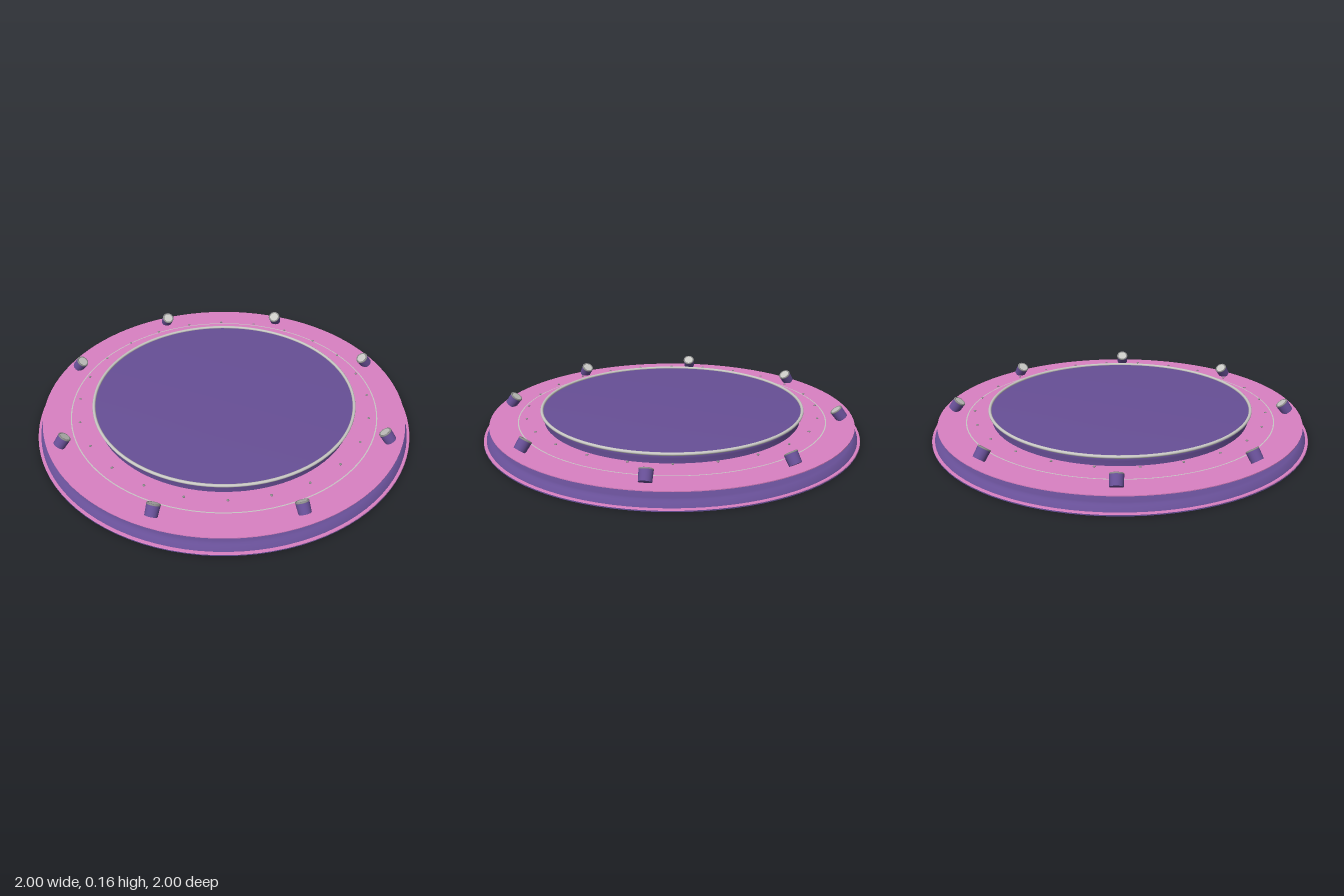
import * as THREE from 'three';

const mat = (name, color) => {
  const m = new THREE.MeshStandardMaterial({ color });
  m.name = name;
  return m;
};

export function createModel() {
  const purple = mat('purple', 0x674f96);
  const pink = mat('pink', 0xd980c2);
  const silver = mat('silver', 0xc8c8c4);
  const grey = mat('grey', 0x8c8c8c);
  const model = new THREE.Group();
  model.name = 'roundStage';

  const add = (name, geometry, material, y = 0, parent = model) => {
    const mesh = new THREE.Mesh(geometry, material);
    mesh.name = name;
    mesh.position.y = y;
    parent.add(mesh);
    return mesh;
  };
  // Revolved profile, listed from bottom to top
  const lathe = (points) =>
    new THREE.LatheGeometry(points.map(([r, y]) => new THREE.Vector2(r, y)), 96);
  const torus = (r, tube) => new THREE.TorusGeometry(r, tube, 10, 96).rotateX(Math.PI / 2);

  // Base: flat foot, pink flange and rounded body
  add('foot', new THREE.CylinderGeometry(1, 1, 0.006, 96), purple, 0.003);
  add('flange', new THREE.CylinderGeometry(0.998, 1, 0.004, 96), pink, 0.008);
  add('baseBody', lathe([[0.985, 0.01], [0.98, 0.018], [0.968, 0.031], [0.958, 0.036],
    [0.945, 0.038], [0, 0.038]]), purple);

  // Stepped riser beneath the deck
  add('riserFoot', new THREE.CylinderGeometry(0.83, 0.84, 0.008, 96), purple, 0.042);
  add('riserBand', new THREE.CylinderGeometry(0.815, 0.825, 0.016, 96), silver, 0.054);
  add('riserTop', new THREE.CylinderGeometry(0.815, 0.815, 0.014, 96), pink, 0.069);

  // Thin overhanging deck with an inlaid ring
  add('deck', new THREE.CylinderGeometry(0.967, 0.967, 0.004, 96), pink, 0.078);
  add('deckInlay', new THREE.RingGeometry(0.816, 0.822, 96).rotateX(-Math.PI / 2), silver, 0.081);

  // Raised centre platform with a metal rim
  add('platform', lathe([[0.685, 0.079], [0.686, 0.105], [0.69, 0.127], [0, 0.127]]), purple);
  add('platformRim', torus(0.695, 0.008), silver, 0.13);

  // Small studs around the platform
  const studs = new THREE.Group();
  studs.name = 'studs';
  model.add(studs);
  const studGeometry = new THREE.SphereGeometry(0.007, 10, 6);
  for (let i = 0; i < 24; i++) {
    const a = (i / 24) * Math.PI * 2;
    const stud = add('stud', studGeometry, grey, 0.118, studs);
    stud.position.x = Math.sin(a) * 0.775;
    stud.position.z = Math.cos(a) * 0.775;
    stud.scale.y = 0.5;
  }

  // Spotlights tilted toward the centre
  const bodyGeometry = new THREE.CylinderGeometry(0.033, 0.031, 0.054, 24);
  const rimGeometry = new THREE.TorusGeometry(0.029, 0.005, 8, 24).rotateX(Math.PI / 2);
  const lensGeometry = new THREE.CylinderGeometry(0.027, 0.027, 0.004, 24);
  for (let i = 0; i < 8; i++) {
    const pivot = new THREE.Group();
    pivot.name = 'spotlightMount';
    pivot.rotation.y = ((i + 0.5) / 8) * Math.PI * 2;
    const lamp = new THREE.Group();
    lamp.name = 'spotlight';
    lamp.position.set(0, 0.112, 0.888);
    lamp.rotation.x = -0.65;
    add('spotlightBody', bodyGeometry, purple, -0.002, lamp);
    add('spotlightRim', rimGeometry, grey, 0.026, lamp);
    add('spotlightLens', lensGeometry, silver, 0.027, lamp);
    pivot.add(lamp);
    model.add(pivot);
  }
  return model;
}
